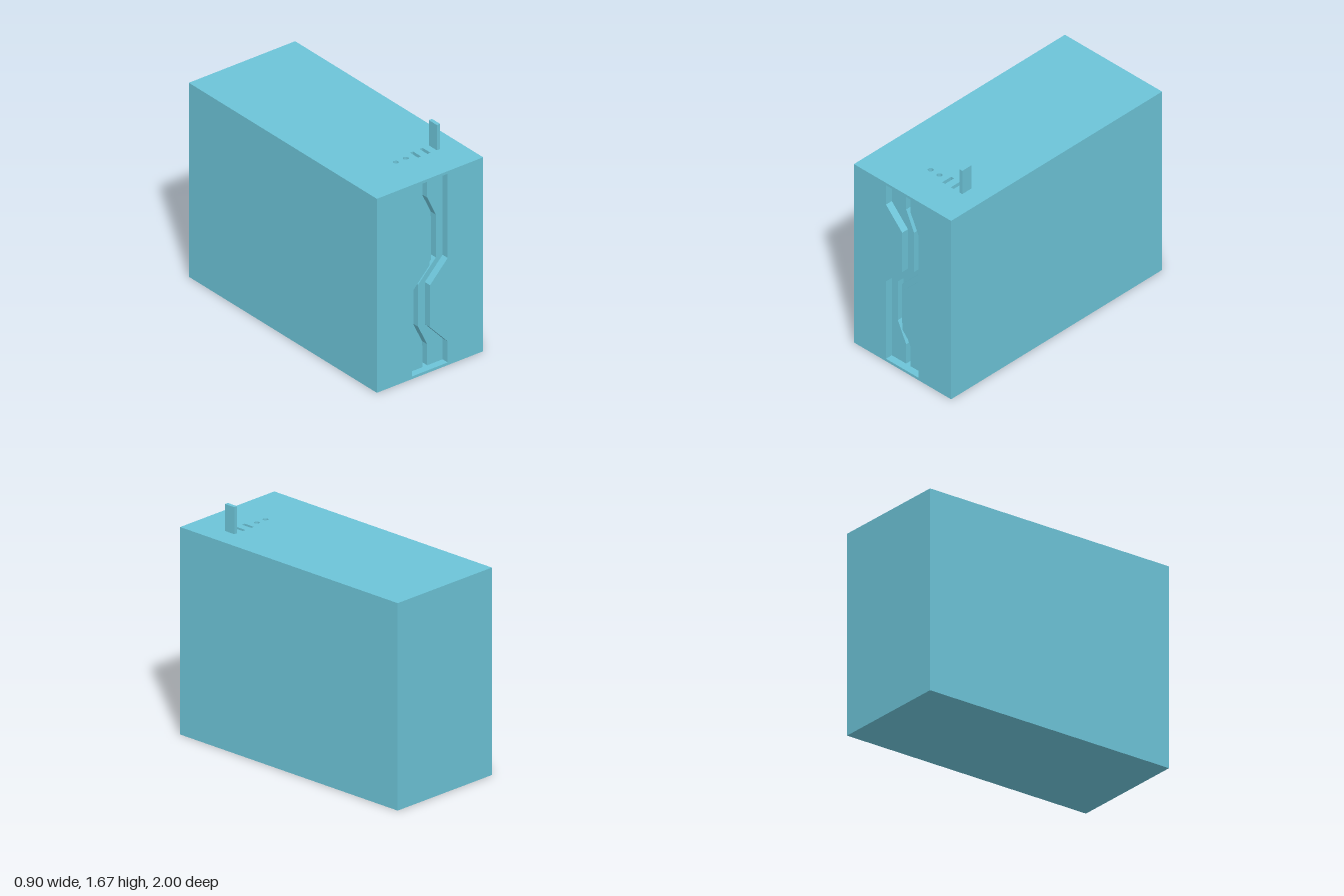
import * as THREE from 'three';

const W = 0.9, H = 1.475, D = 2;
const material = new THREE.MeshStandardMaterial({ color: 0x6cc3d7, flatShading: true });

const toPoints = (list) => list.map(([x, y]) => new THREE.Vector2(x, y));

function addMesh(parent, name, geometry) {
  const mesh = new THREE.Mesh(geometry, material);
  mesh.name = name;
  parent.add(mesh);
  return mesh;
}

// Flat panel facing +z, with optional openings
function panel(outline, holes = []) {
  const shape = new THREE.Shape(outline);
  shape.holes = holes.map((h) => new THREE.Path(h));
  return new THREE.ShapeGeometry(shape);
}

// Inward-facing walls of a pit, from a counter-clockwise outline
function pitWalls(outline, z0, z1) {
  const pos = [];
  outline.forEach((a, i) => {
    const b = outline[(i + 1) % outline.length];
    pos.push(a.x, a.y, z0, b.x, b.y, z0, b.x, b.y, z1);
    pos.push(a.x, a.y, z0, b.x, b.y, z1, a.x, a.y, z1);
  });
  const geometry = new THREE.BufferGeometry();
  geometry.setAttribute('position', new THREE.Float32BufferAttribute(pos, 3));
  geometry.computeVertexNormals();
  return geometry;
}

function rect(x0, y0, x1, y1) {
  return toPoints([[x0, y0], [x1, y0], [x1, y1], [x0, y1]]);
}

function circle(cx, cy, r, n = 24) {
  return Array.from({ length: n }, (_, i) => {
    const a = (i / n) * Math.PI * 2;
    return new THREE.Vector2(cx + r * Math.cos(a), cy + r * Math.sin(a));
  });
}

export function createModel() {
  const model = new THREE.Group();
  model.name = 'computerCase';

  // Plain sides of the case
  const plain = (name, w, h, position, rx, ry) => {
    const mesh = addMesh(model, name, new THREE.PlaneGeometry(w, h));
    mesh.position.set(...position);
    mesh.rotation.set(rx, ry, 0);
  };
  plain('leftSide', D, H, [W / 2, H / 2, 0], 0, Math.PI / 2);
  plain('rightSide', D, H, [-W / 2, H / 2, 0], 0, -Math.PI / 2);
  plain('backSide', W, H, [0, H / 2, -D / 2], 0, Math.PI);
  plain('bottomSide', W, D, [0, 0, 0], Math.PI / 2, 0);

  // Front: zigzag recess with a deeper narrow groove down its middle
  const front = new THREE.Group();
  front.name = 'front';
  front.position.z = D / 2;
  model.add(front);

  const top = 1.455, bottom = 0.02, recess = -0.055, groove = -0.11;
  const recessLeft = toPoints([[-0.153, top], [-0.153, 1.295], [-0.003, 1.14],
    [-0.003, 0.815], [-0.153, 0.66], [-0.153, bottom]]);
  const recessRight = toPoints([[0.15, bottom], [0.15, 0.18], [0, 0.34],
    [0, 0.66], [0.15, 0.815], [0.15, top]]);
  const grooveEdge = (dx) => toPoints([[-0.02, top], [-0.02, 1.295], [0.053, 1.14],
    [0.053, 0.815], [-0.097, 0.66], [-0.097, 0.34], [-0.02, 0.18], [-0.02, bottom]]
    .map(([x, y]) => [x + dx, y]));
  const grooveLeft = grooveEdge(0);
  const grooveRight = grooveEdge(0.04).reverse();
  const recessOutline = [...recessLeft, ...recessRight];
  const grooveOutline = [...grooveLeft, ...grooveRight];

  addMesh(front, 'frontPanel', panel(rect(-W / 2, 0, W / 2, H), [recessOutline]));
  addMesh(front, 'recessWalls', pitWalls(recessOutline, 0, recess));
  addMesh(front, 'recessFloorA',
    panel([...recessLeft, ...[...grooveLeft].reverse()])).position.z = recess;
  addMesh(front, 'recessFloorB',
    panel([...recessRight, ...[...grooveRight].reverse()])).position.z = recess;
  addMesh(front, 'grooveWalls', pitWalls(grooveOutline, recess, groove));
  addMesh(front, 'grooveFloor', panel(grooveOutline)).position.z = groove;

  // Top: two round sockets and two slots sunk into the panel
  const lid = new THREE.Group();
  lid.name = 'top';
  lid.position.y = H;
  lid.rotation.x = -Math.PI / 2;
  model.add(lid);

  const sockets = {
    roundSocketA: circle(-0.043, -0.69, 0.019),
    roundSocketB: circle(0.04, -0.69, 0.019),
    slotA: rect(0.109, -0.735, 0.135, -0.65),
    slotB: rect(0.189, -0.735, 0.215, -0.65),
  };
  addMesh(lid, 'topPanel',
    panel(rect(-W / 2, -D / 2, W / 2, D / 2), Object.values(sockets)));
  for (const [name, outline] of Object.entries(sockets)) {
    addMesh(lid, name + 'Walls', pitWalls(outline, 0, -0.06));
    addMesh(lid, name + 'Floor', panel(outline)).position.z = -0.06;
  }

  // Stick standing in the last slot
  const stick = addMesh(model, 'plugInStick', new THREE.BoxGeometry(0.027, 0.192, 0.086));
  stick.position.set(0.282, H + 0.096, 0.693);

  return model;
}
